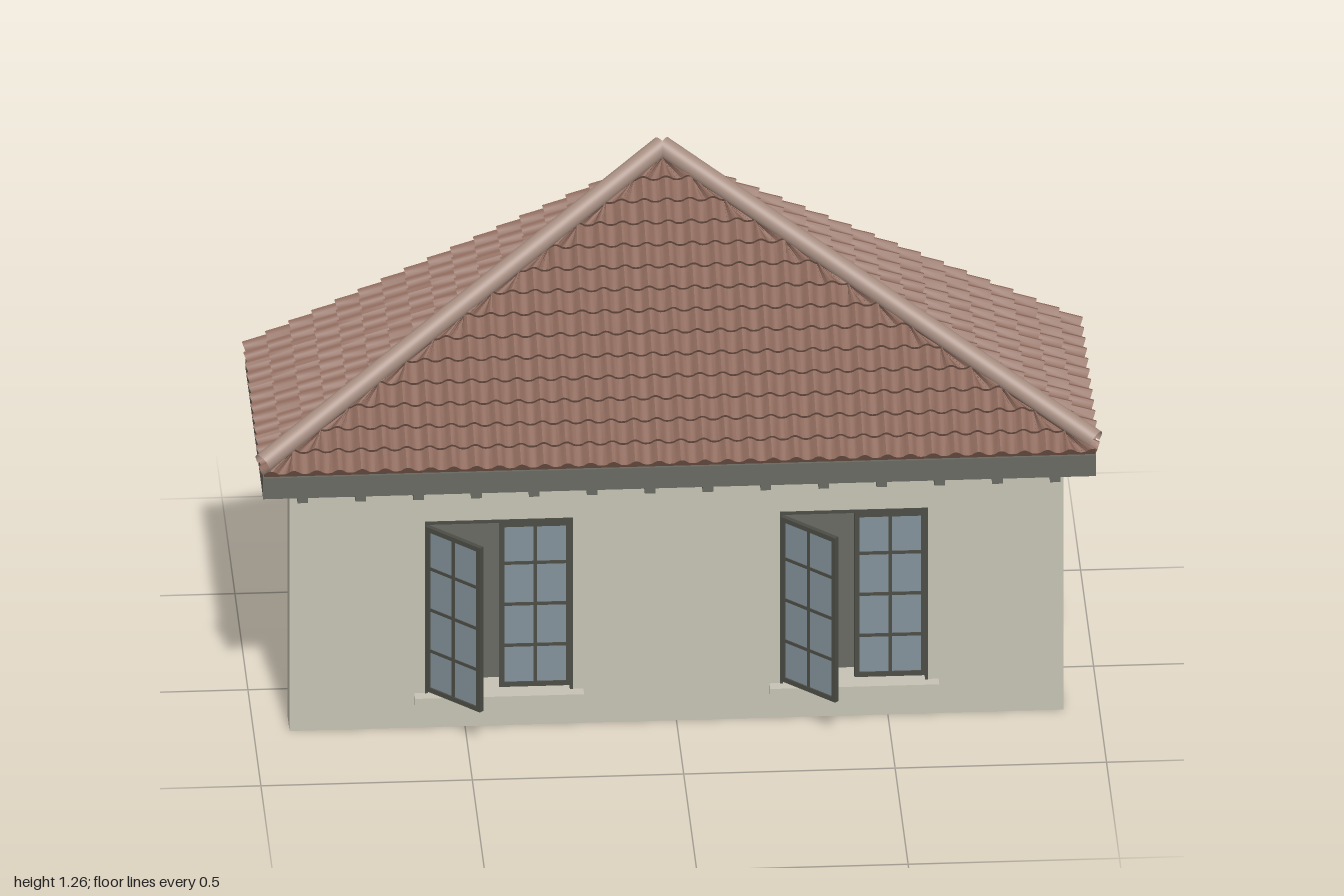
import * as THREE from 'three';
import { toCreasedNormals } from 'three/addons/utils/BufferGeometryUtils.js';

const mat = (name, color, side = THREE.FrontSide) => {
  const m = new THREE.MeshStandardMaterial({ color, side });
  m.name = name;
  return m;
};

export function createModel() {
  const plaster = mat('plaster', 0xc6c2b4);
  const wood = mat('greyWood', 0x686a61, THREE.DoubleSide);
  const darkWood = mat('darkWood', 0x4c4d45);
  const glass = mat('glass', 0x84929a);
  const clay = mat('clayTile', 0x8e6a5c, THREE.DoubleSide);
  const ridgeClay = mat('ridgeClay', 0xa68d81, THREE.DoubleSide);

  const house = new THREE.Group();
  house.name = 'house';

  const add = (parent, name, geometry, material) => {
    const m = new THREE.Mesh(geometry, material);
    m.name = name;
    parent.add(m);
    return m;
  };
  // box given by its limits on each axis
  const box = (parent, name, material, x0, x1, y0, y1, z0, z1) => {
    const m = add(parent, name, new THREE.BoxGeometry(x1 - x0, y1 - y0, z1 - z0), material);
    m.position.set((x0 + x1) / 2, (y0 + y1) / 2, (z0 + z1) / 2);
    return m;
  };

  // ---- wall with two window openings
  const windows = [-0.42, 0.42];
  const HW = 0.175, Y0 = 0.09, Y1 = 0.545;
  const rect = (C, x0, x1, y0, y1) => {
    const p = new C();
    p.moveTo(x0, y0);
    p.lineTo(x1, y0);
    p.lineTo(x1, y1);
    p.lineTo(x0, y1);
    p.closePath();
    return p;
  };
  const wallShape = rect(THREE.Shape, -0.915, 0.915, 0, 0.68);
  windows.forEach((x) => wallShape.holes.push(rect(THREE.Path, x - HW, x + HW, Y0, Y1)));
  const wall = add(house, 'wall',
    new THREE.ExtrudeGeometry(wallShape, { depth: 0.075, bevelEnabled: false }), plaster);
  wall.position.z = 0.145;

  // ---- glazed casement, hinge edge at local x = 0
  const casement = (name, w, h) => {
    const g = new THREE.Group();
    g.name = name;
    const b = 0.012, d = 0.006;
    box(g, 'glassPane', glass, b / 2, w - b / 2, b / 2, h - b / 2, -0.002, 0.002);
    for (const x of [0, w - b]) box(g, 'stile', darkWood, x, x + b, 0, h, -d, d);
    for (const y of [0, h - b]) box(g, 'rail', darkWood, b, w - b, y, y + b, -d, d);
    box(g, 'verticalBar', darkWood, w / 2 - 0.004, w / 2 + 0.004, b, h - b, -0.005, 0.005);
    for (let i = 1; i < 4; i++) {
      const y = (h * i) / 4;
      box(g, 'crossBar', darkWood, b, w - b, y - 0.004, y + 0.004, -0.004, 0.004);
    }
    return g;
  };

  windows.forEach((cx, i) => {
    const g = new THREE.Group();
    g.name = i ? 'leftWindow' : 'rightWindow';
    house.add(g);
    const l = cx - HW, r = cx + HW;
    box(g, 'backPanel', wood, l, r, Y0, Y1, 0.134, 0.148);
    box(g, 'sill', plaster, cx - 0.2, cx + 0.2, 0.068, 0.091, 0.14, 0.25);
    // lining of the opening
    box(g, 'jamb', darkWood, l, l + 0.007, Y0, Y1, 0.19, 0.222);
    box(g, 'jamb', darkWood, r - 0.007, r, Y0, Y1, 0.19, 0.222);
    box(g, 'head', darkWood, l, r, Y1 - 0.008, Y1, 0.19, 0.222);
    const shut = casement('closedCasement', 0.17, 0.435);
    shut.position.set(r - 0.174, 0.1, 0.212);
    const open = casement('openCasement', 0.172, 0.435);
    open.position.set(l + 0.005, 0.1, 0.222);
    open.rotation.y = -Math.PI / 4;
    g.add(shut, open);
  });

  // ---- fascia boards and rafter tails
  box(house, 'frontFascia', wood, -0.985, 0.985, 0.68, 0.735, 0.315, 0.345);
  for (const [a, b] of [[-0.985, -0.955], [0.955, 0.985]])
    box(house, 'sideFascia', wood, a, b, 0.68, 0.735, -0.335, 0.315);
  for (let i = 0; i < 14; i++) {
    const x = -0.89 + (i * 1.78) / 13;
    box(house, 'rafterTail', wood, x - 0.0125, x + 0.0125, 0.655, 0.682, 0.2, 0.322);
  }

  // ---- roof slopes
  const apex = new THREE.Vector3(0, 1.205, -0.335);
  const P = (x, z) => new THREE.Vector3(x, 0.735, z);
  const triangle = (pts) => {
    const g = new THREE.BufferGeometry().setFromPoints(pts);
    g.computeVertexNormals();
    return g;
  };

  // barrel tile profile: round hump beside a shallow pan
  const COL = 0.054, STEPS = 8, ROW = 0.06;
  const profile = (t) => (t < 0.6 ? 0.014 * Math.sin((Math.PI * t) / 0.6)
    : -0.003 * Math.sin((Math.PI * (t - 0.6)) / 0.4));

  // overlapping rows of tiles over the triangle a, b, apex (seen from outside, a left of b)
  const tiles = (a, b) => {
    const U = b.clone().sub(a);
    const width = U.length();
    U.normalize();
    const rel = apex.clone().sub(a);
    const uTop = rel.dot(U);
    const V = rel.clone().addScaledVector(U, -uTop);
    const len = V.length();
    V.normalize();
    const N = U.clone().cross(V);
    const rows = Math.round(len / ROW), h = len / rows;
    const n = Math.ceil(width / COL) * STEPS;
    const pos = [];
    const point = (k, v, lift, useWave) => {
      const f = Math.min(v / len, 1);
      const u = THREE.MathUtils.clamp((k * COL) / STEPS, uTop * f, width + (uTop - width) * f);
      const wave = useWave ? profile((k % STEPS) / STEPS) : 0;
      return a.clone().addScaledVector(U, u).addScaledVector(V, v).addScaledVector(N, lift + wave);
    };
    const tri = (p, q, r) => {
      const area = q.clone().sub(p).cross(r.clone().sub(p)).length();
      if (area > 1e-7) for (const c of [p, q, r]) pos.push(c.x, c.y, c.z);
    };
    const quad = (p, q, r, s) => { tri(p, q, r); tri(p, r, s); };
    for (let r = 0; r < rows; r++) {
      const v0 = r * h, v1 = v0 + h;
      for (let k = 0; k < n; k++) {
        const p = point(k, v0, 0.013, true), q = point(k + 1, v0, 0.013, true);
        if (p.distanceTo(q) < 1e-5) continue;
        quad(p, q, point(k + 1, v1, 0.004, true), point(k, v1, 0.004, true));
        quad(point(k, v0, 0, false), point(k + 1, v0, 0, false), q, p); // tile lip
      }
    }
    const g = new THREE.BufferGeometry();
    g.setAttribute('position', new THREE.Float32BufferAttribute(pos, 3));
    return toCreasedNormals(g, 0.7);
  };

  const X = 0.983, ZF = 0.338, ZB = -0.335;
  const slopes = [
    ['frontSlope', P(-X, ZF), P(X, ZF)],
    ['leftSlope', P(X, ZF), P(X, ZB)],
    ['rightSlope', P(-X, ZB), P(-X, ZF)],
  ];
  for (const [name, a, b] of slopes) {
    add(house, name + 'Tiles', tiles(a, b), clay);
    const deck = add(house, name + 'Deck', triangle([a, b, apex]), wood);
    deck.position.y = -0.004;
  }

  // ---- rounded caps along the two hips
  for (const s of [-1, 1]) {
    const a = new THREE.Vector3(s * 0.985, 0.766, 0.328);
    const b = new THREE.Vector3(0, 1.236, -0.342);
    const dir = b.clone().sub(a);
    const length = dir.length();
    dir.normalize();
    const up = new THREE.Vector3(0, 1, 0).addScaledVector(dir, -dir.y).normalize();
    const side = dir.clone().cross(up);
    const cap = add(house, s > 0 ? 'leftHipCap' : 'rightHipCap',
      new THREE.CylinderGeometry(0.025, 0.025, length, 20, 1, true, -2, 4), ridgeClay);
    cap.quaternion.setFromRotationMatrix(new THREE.Matrix4().makeBasis(side, dir, up));
    cap.position.copy(a).add(b).multiplyScalar(0.5);
  }

  return house;
}
